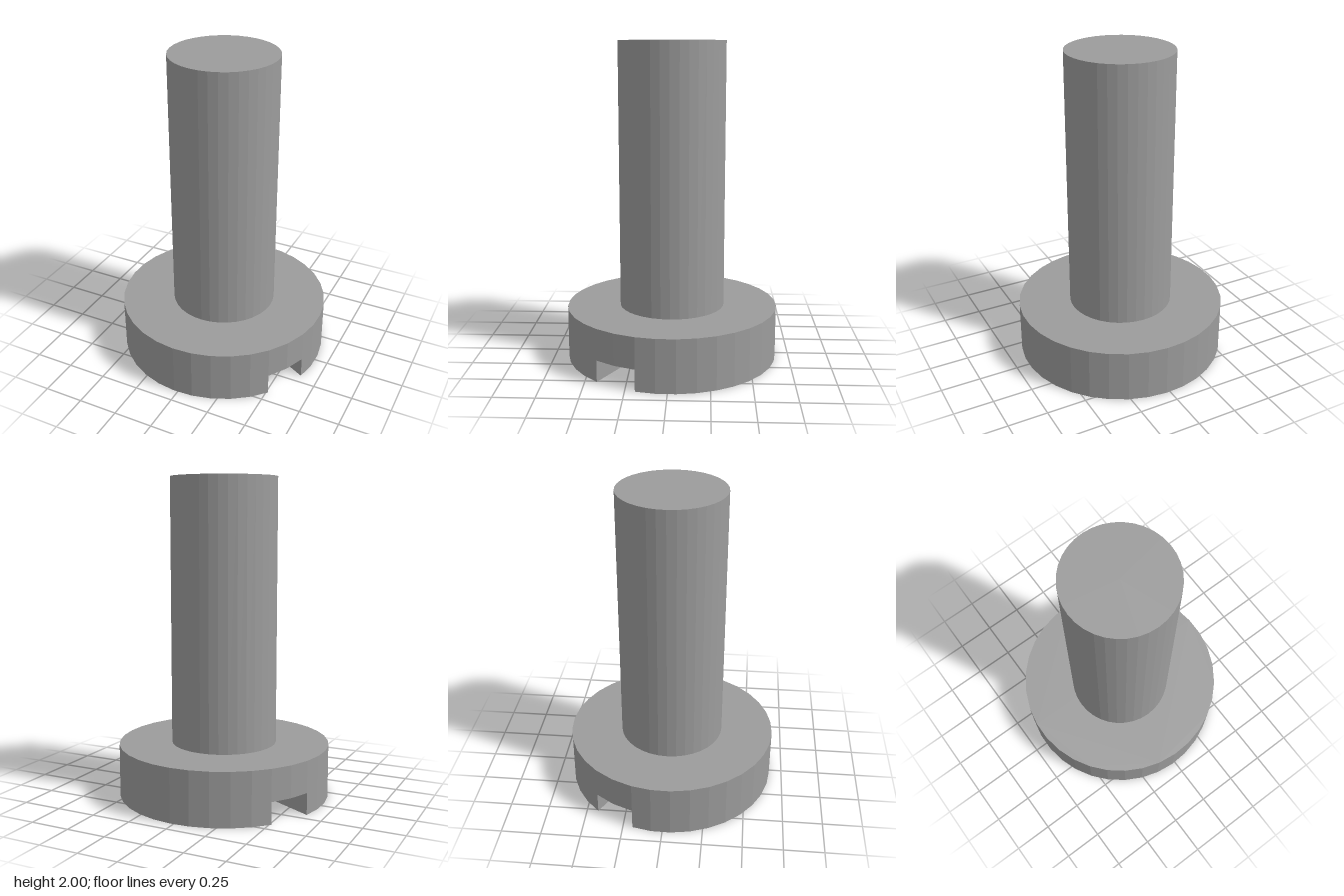
import * as THREE from 'three';

const HEAD_R = 0.667, HEAD_H = 0.333, SHAFT_R = 0.332, TOP = 2;
const SLOT_HALF = 0.135, SLOT_DEPTH = 0.135;
const SLOT_TURN = -THREE.MathUtils.degToRad(28.2);

// Points along the head's rim between two angles
function rim(from, to, steps) {
  return Array.from({ length: steps + 1 }, (_, i) => {
    const a = from + ((to - from) * i) / steps;
    return new THREE.Vector2(HEAD_R * Math.cos(a), HEAD_R * Math.sin(a));
  });
}

// Upright slab standing on y, from a flat outline
function slab(points, y, height) {
  const geometry = new THREE.ExtrudeGeometry(new THREE.Shape(points), { depth: height, bevelEnabled: false });
  return geometry.rotateX(-Math.PI / 2).translate(0, y, 0);
}

export function createModel() {
  const model = new THREE.Group();
  model.name = 'slottedScrew';
  const steel = new THREE.MeshStandardMaterial({ color: 0x9c9c9c, flatShading: true });
  steel.name = 'steelGrey';

  const add = (parent, name, geometry) => {
    const mesh = new THREE.Mesh(geometry, steel);
    mesh.name = name;
    parent.add(mesh);
    return mesh;
  };

  // Shaft, rising from the head
  const shaft = new THREE.CylinderGeometry(SHAFT_R, SHAFT_R, TOP - HEAD_H, 36);
  add(model, 'shaft', shaft.translate(0, (TOP + HEAD_H) / 2, 0));

  // Head: a full disc over two half-moons that leave the slot between them
  const head = new THREE.Group();
  head.name = 'head';
  head.rotation.y = SLOT_TURN;
  model.add(head);

  const a = Math.asin(SLOT_HALF / HEAD_R);
  const moon = rim(a, Math.PI - a, 15);
  const end = rim(Math.PI - a, Math.PI + a, 2).slice(1, -1);
  const halfRim = [...moon, ...end];
  const fullRim = [...halfRim, ...halfRim.map((p) => p.clone().negate())];

  add(head, 'headDisc', slab(fullRim, SLOT_DEPTH, HEAD_H - SLOT_DEPTH));
  add(head, 'slotSideBack', slab(moon, 0, SLOT_DEPTH));
  add(head, 'slotSideFront', slab(moon, 0, SLOT_DEPTH)).rotation.y = Math.PI;

  return model;
}
